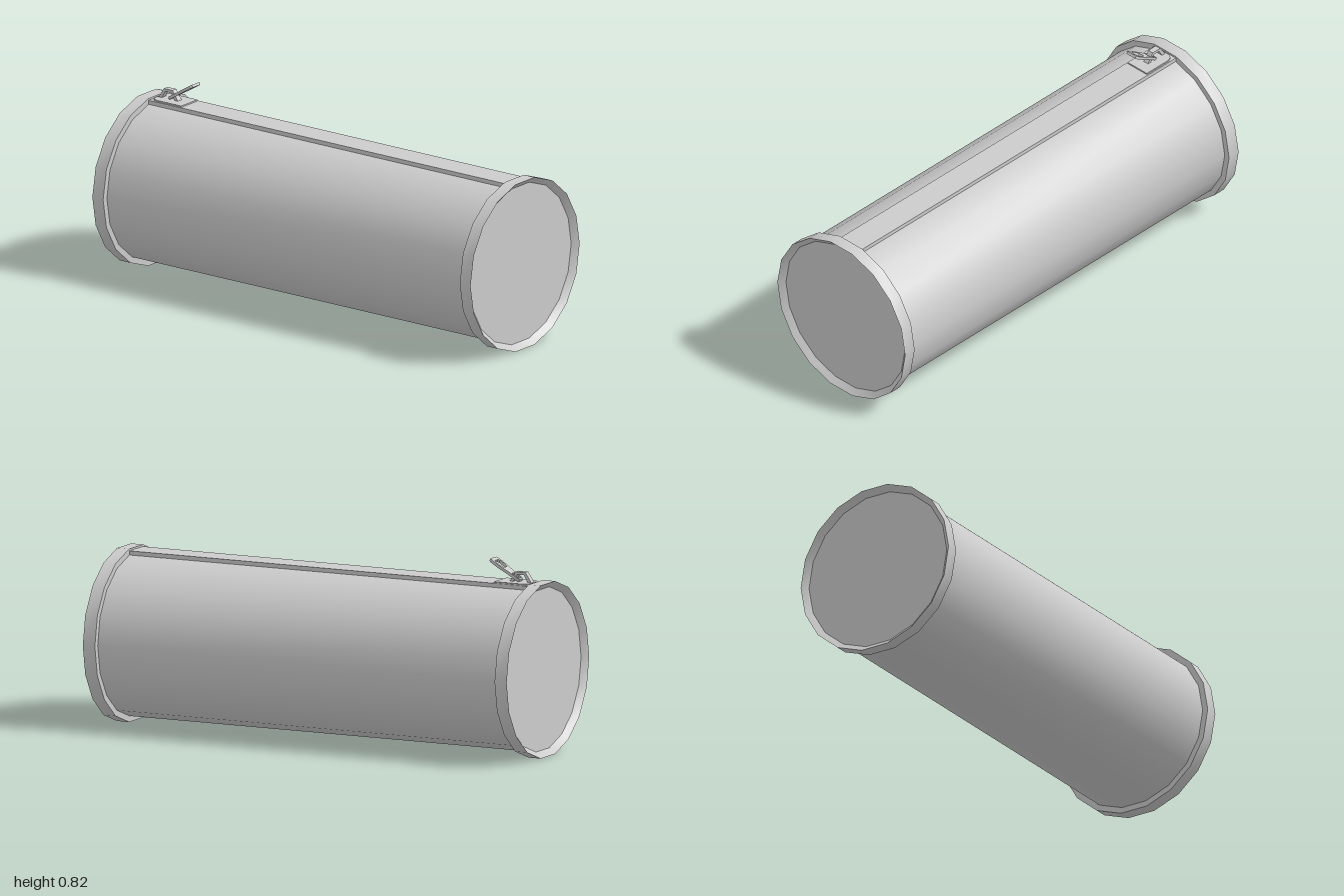
import * as THREE from 'three';
import { toCreasedNormals } from 'three/addons/utils/BufferGeometryUtils.js';

const SIDES = 18;
const CENTRE_Y = 0.367;
const BODY_R = 0.347;
const RIM_R = 0.3725;

export function createModel() {
  const model = new THREE.Group();
  const mat = new THREE.MeshStandardMaterial({ color: 0xcccccc });

  const add = (name, geo, parent = model) => {
    const mesh = new THREE.Mesh(geo, mat);
    mesh.name = name;
    parent.add(mesh);
    return mesh;
  };
  // Profile of [radius, x] pairs turned about the x axis
  const turned = (pts) => {
    const geo = new THREE.LatheGeometry(pts.map(([r, x]) => new THREE.Vector2(r, x)), SIDES);
    geo.rotateZ(-Math.PI / 2);
    return toCreasedNormals(geo, 0.5);
  };
  const outline = (pts, Type = THREE.Shape) => new Type(pts.map(([x, y]) => new THREE.Vector2(x, y)));
  // Outline symmetric about its long axis, from [along, halfWidth] pairs
  const mirrored = (pts, Type) =>
    outline([...pts.map(([s, w]) => [s, -w]), ...pts.slice().reverse()], Type);
  const slab = (shape, depth) => {
    const geo = new THREE.ExtrudeGeometry(shape, { depth, bevelEnabled: false, curveSegments: 6 });
    return geo.translate(0, 0, -depth / 2);
  };

  // Tube body
  add('body', turned([[BODY_R, -0.96], [BODY_R, 0.96]])).position.y = CENTRE_Y;

  // Rimmed ends with a slightly sunken disc
  for (const [name, turn] of [['leftEnd', 0], ['rightEnd', Math.PI]]) {
    const end = add(name, turned([
      [BODY_R - 0.01, 0.943], [RIM_R, 0.943], [RIM_R, 1], [BODY_R, 0.975], [0, 0.975],
    ]));
    end.position.y = CENTRE_Y;
    end.rotation.y = turn;
  }

  // Raised zip strip along the top
  const strip = add('zipStrip', new THREE.BoxGeometry(1.89, 0.03, 0.123));
  strip.position.y = 0.711;

  // Zip slider
  const slider = new THREE.Group();
  slider.name = 'zipSlider';
  model.add(slider);

  const plate = slab(mirrored([[-0.935, 0.03], [-0.925, 0.047], [-0.905, 0.056], [-0.775, 0.056]]), 0.008);
  plate.rotateX(-Math.PI / 2);
  add('sliderPlate', plate, slider).position.y = 0.728;

  // Arched bridge that holds the pull
  const bridge = outline([
    [-0.93, 0.73], [-0.912, 0.73], [-0.893, 0.762], [-0.862, 0.762], [-0.842, 0.73],
    [-0.825, 0.73], [-0.855, 0.774], [-0.9, 0.774],
  ]);
  add('sliderBridge', slab(bridge, 0.026), slider);

  // Tilted pull tab with a grip hole and a hinge hole
  const tab = mirrored([[0, 0.016], [0.012, 0.021], [0.06, 0.022], [0.1, 0.03], [0.145, 0.03], [0.155, 0.025]]);
  tab.holes.push(
    mirrored([[0.008, 0.014], [0.045, 0.014]], THREE.Path),
    mirrored([[0.088, 0.012], [0.105, 0.02], [0.13, 0.02], [0.138, 0.014]], THREE.Path),
  );
  const pull = add('zipPull', slab(tab, 0.012).rotateX(-Math.PI / 2), slider);
  pull.position.set(-0.872, 0.737, 0);
  pull.rotation.z = 0.55;

  return model;
}
